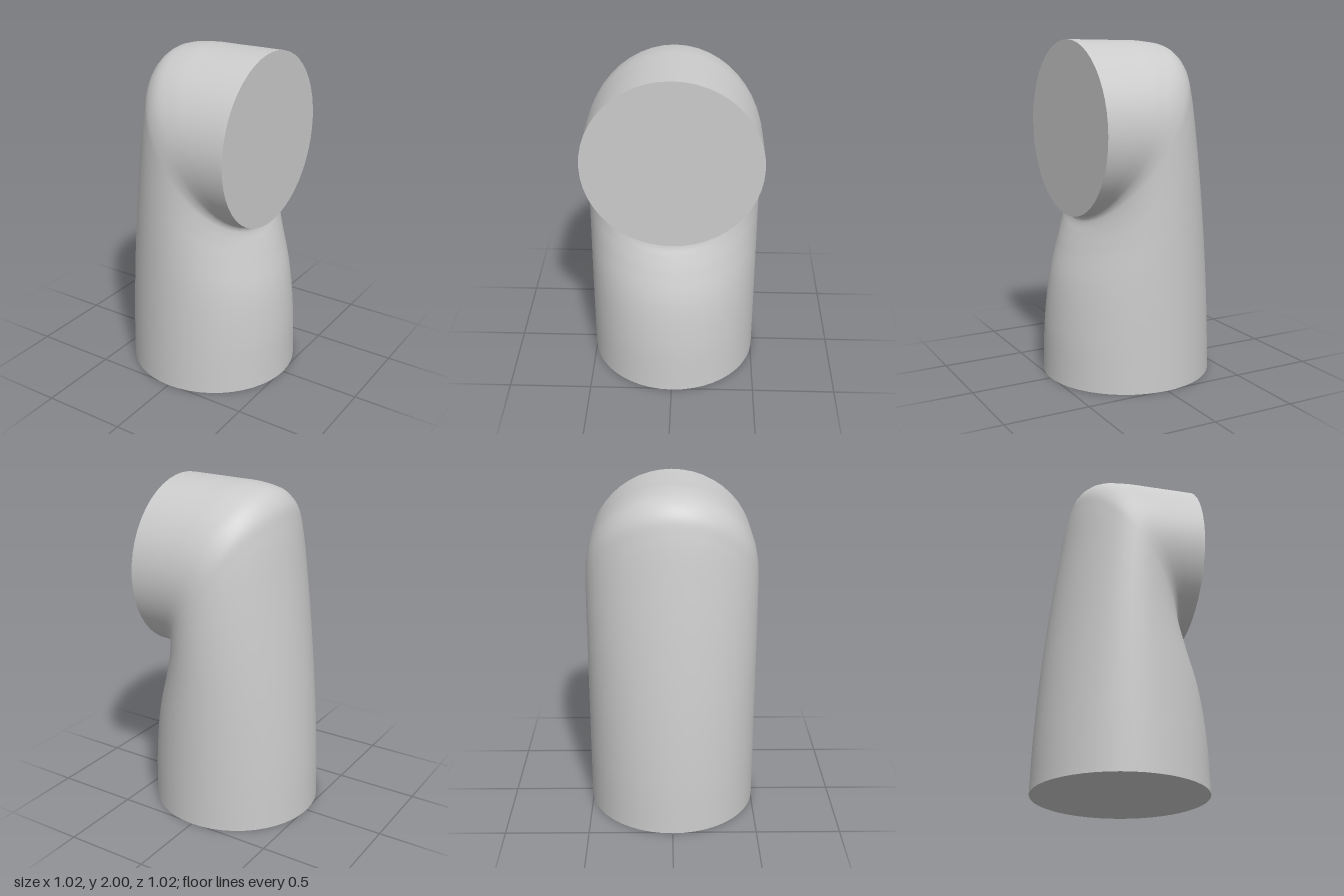
import * as THREE from 'three';

const R = 0.51, SEGMENTS = 48, ROWS = 80;

// Matching points on the outer (back) and inner (throat) profile, from foot to mouth
const outer = [[-0.51, 0], [-0.5, 0.3], [-0.472, 0.7], [-0.43, 1.1], [-0.385, 1.45], [-0.335, 1.77],
  [-0.3, 1.89], [-0.23, 1.96], [-0.1, 1.99], [0.1, 1.996], [0.38, 2]];
const inner = [[0.51, 0], [0.495, 0.33], [0.455, 0.6], [0.395, 0.78], [0.353, 0.88], [0.33, 0.93],
  [0.325, 0.955], [0.332, 0.972], [0.35, 0.978], [0.362, 0.979], [0.38, 0.98]];

const curve = (pts) => new THREE.CatmullRomCurve3(pts.map(([x, y]) => new THREE.Vector3(x, y, 0)));

// Loft of tilted ellipses spanning the two profiles
function elbowGeometry() {
  const a = curve(outer), b = curve(inner), pos = [], idx = [];
  for (let i = 0; i <= ROWS; i++) {
    const p = a.getPoint(i / ROWS), q = b.getPoint(i / ROWS);
    const centre = p.clone().add(q).multiplyScalar(0.5);
    const half = q.clone().sub(p).multiplyScalar(0.5);
    for (let j = 0; j < SEGMENTS; j++) {
      const t = (j / SEGMENTS) * Math.PI * 2;
      pos.push(centre.x + half.x * Math.cos(t), centre.y + half.y * Math.cos(t), R * Math.sin(t));
      if (i < ROWS) {
        const n = (j + 1) % SEGMENTS, r = i * SEGMENTS, s = r + SEGMENTS;
        idx.push(r + j, s + j, r + n, r + n, s + j, s + n);
      }
    }
  }
  const g = new THREE.BufferGeometry();
  g.setAttribute('position', new THREE.Float32BufferAttribute(pos, 3));
  g.setIndex(idx);
  g.computeVertexNormals();
  return g;
}

export function createModel() {
  const group = new THREE.Group();
  group.name = 'elbowPipe';
  const material = new THREE.MeshStandardMaterial({ color: 0xcccccc });
  const add = (name, geometry) => {
    const mesh = new THREE.Mesh(geometry, material);
    mesh.name = name;
    group.add(mesh);
  };

  add('elbowBody', elbowGeometry());
  // Flat closing discs at the foot and the mouth
  add('baseCap', new THREE.CircleGeometry(R, SEGMENTS).rotateX(Math.PI / 2));
  add('mouthCap', new THREE.CircleGeometry(R, SEGMENTS).rotateY(Math.PI / 2).translate(0.38, 1.49, 0));
  return group;
}
